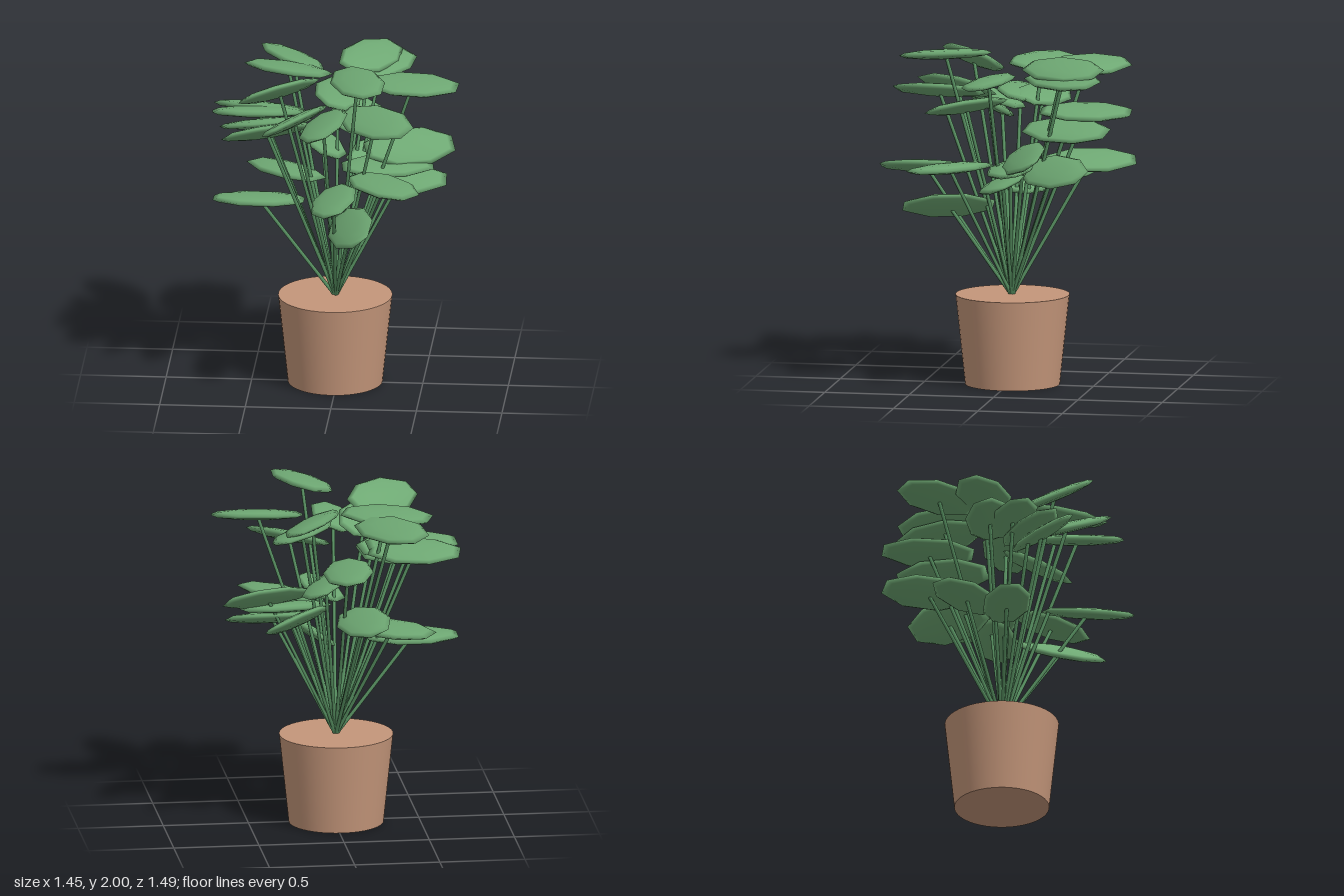
import * as THREE from 'three';

// Point on the pot where every stem starts
const ROOT = new THREE.Vector3(-0.01, 0.52, -0.015);

// Leaf centres and sideways roll: x, y, z, roll in degrees
const LEAVES = [
  [0.10, 1.06, 0.34, 36], [-0.46, 1.105, -0.02, 4], [-0.315, 1.21, -0.25, 5],
  [0.37, 1.245, -0.03, 20], [0.015, 1.275, 0.49, 19], [0.25, 1.30, -0.31, 34],
  [0.29, 1.31, 0.30, 4], [0.29, 1.315, -0.06, 9], [-0.12, 1.315, -0.46, 20],
  [0.41, 1.40, -0.16, 34], [0.09, 1.52, -0.355, 22], [-0.40, 1.59, 0.19, 30],
  [-0.41, 1.62, 0.12, 18], [-0.03, 1.615, -0.45, 12], [-0.46, 1.64, -0.12, 17],
  [-0.46, 1.655, 0.015, 11], [0.24, 1.67, 0.21, 22], [-0.05, 1.715, 0.425, 20],
  [-0.225, 1.715, 0.35, 32], [0.445, 1.85, 0.04, 10], [-0.29, 1.85, -0.41, 15],
  [0.23, 1.84, -0.36, 14], [-0.295, 1.87, -0.145, 8], [-0.32, 1.87, 0.27, 34],
  [0.17, 1.89, -0.35, 20], [0.145, 1.96, 0.35, 10],
];

export function createModel() {
  const model = new THREE.Group();
  model.name = 'pottedPlant';
  const clay = new THREE.MeshStandardMaterial({ color: 0xc4967a });
  const stemGreen = new THREE.MeshStandardMaterial({ color: 0x5a9464 });
  const leafGreen = new THREE.MeshStandardMaterial({ color: 0x6ea873 });

  // Tapered pot, closed at the rim
  const pot = new THREE.Mesh(new THREE.CylinderGeometry(0.333, 0.277, 0.53, 48), clay);
  pot.name = 'pot';
  pot.position.set(-0.013, 0.265, -0.018);
  model.add(pot);

  // Eight-sided lens, long along x with a blunt tip
  const leafGeometry = new THREE.SphereGeometry(1, 8, 6);
  leafGeometry.rotateY(Math.PI / 8);
  leafGeometry.scale(0.288, 0.031, 0.145);

  const up = new THREE.Vector3(0, 1, 0);
  const stems = new THREE.Group();
  stems.name = 'stems';
  const foliage = new THREE.Group();
  foliage.name = 'leaves';
  model.add(stems, foliage);

  LEAVES.forEach(([x, y, z, roll], i) => {
    const centre = new THREE.Vector3(x, y, z);
    const along = centre.clone().sub(ROOT);

    // Straight stem from the root to the leaf centre
    const stem = new THREE.Mesh(new THREE.CylinderGeometry(0.011, 0.011, along.length(), 6), stemGreen);
    stem.name = `stem${i + 1}`;
    stem.position.copy(ROOT).addScaledVector(along, 0.5);
    stem.quaternion.setFromUnitVectors(up, along.clone().normalize());
    stems.add(stem);

    // Leaf points outward and rolls about its own length
    const leaf = new THREE.Mesh(leafGeometry, leafGreen);
    leaf.name = `leaf${i + 1}`;
    leaf.position.copy(centre);
    leaf.rotation.set(THREE.MathUtils.degToRad(roll), -Math.atan2(along.z, along.x), 0, 'YXZ');
    foliage.add(leaf);
  });

  return model;
}
